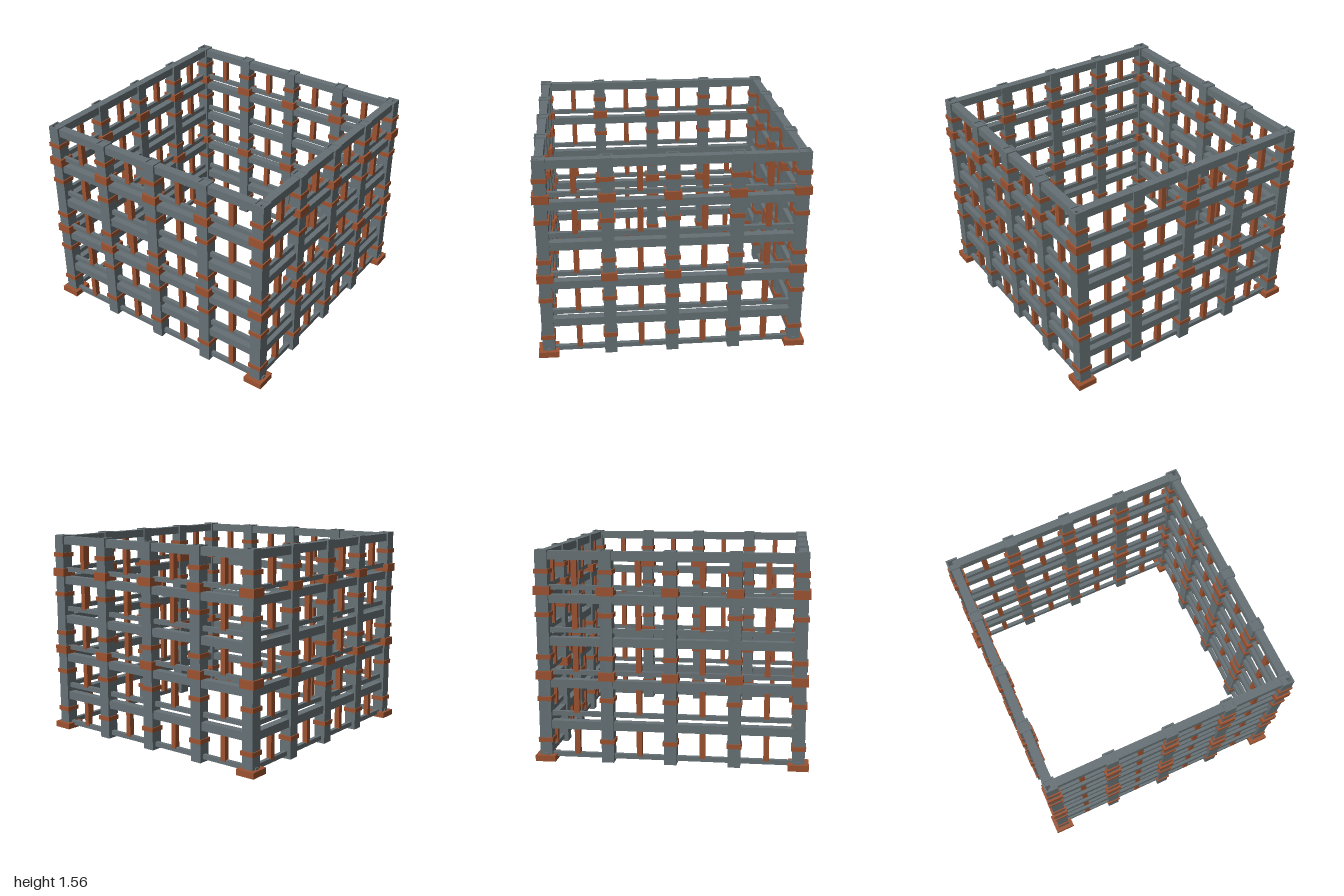
import * as THREE from 'three';

const R = 0.925;               // distance from the centre to each wall line
const SPACING = R / 2;         // distance between posts
const LEVEL = 0.3122;          // height of one tier

export function createModel() {
  const model = new THREE.Group();
  const steel = new THREE.MeshStandardMaterial({ color: 0x667175 });
  steel.name = 'slate steel';
  const rust = new THREE.MeshStandardMaterial({ color: 0x9c5230 });
  rust.name = 'rust orange';

  const add = (parent, name, geometry, material, x, y, z) => {
    const mesh = new THREE.Mesh(geometry, material);
    mesh.name = name;
    mesh.position.set(x, y, z);
    parent.add(mesh);
  };

  // Upright square tube, open at both ends, standing on its origin
  const squareTube = (outer, inner, height) => {
    const square = (path, s) => path.moveTo(-s, -s).lineTo(s, -s).lineTo(s, s).lineTo(-s, s).closePath();
    const shape = square(new THREE.Shape(), outer / 2);
    shape.holes.push(square(new THREE.Path(), inner / 2));
    return new THREE.ExtrudeGeometry(shape, { depth: height, bevelEnabled: false }).rotateX(-Math.PI / 2);
  };

  const postGeo = squareTube(0.09, 0.066, 1.56);
  const cornerPostGeo = squareTube(0.09, 0.066, 1.54);
  const smallCollarGeo = squareTube(0.107, 0.084, 0.033);
  const largeCollarGeo = squareTube(0.12, 0.084, 0.062);
  const plateGeo = new THREE.BoxGeometry(0.15, 0.045, 0.15);

  // Posts with their collars, and base plates at the corners
  const addPost = (x, z) => {
    const post = new THREE.Group();
    const corner = Math.abs(x) === R && Math.abs(z) === R;
    post.name = corner ? 'cornerPost' : 'wallPost';
    post.position.set(x, 0, z);
    add(post, 'postTube', corner ? cornerPostGeo : postGeo, steel, 0, corner ? 0.02 : 0, 0);
    for (let i = 0; i < 5; i++) add(post, 'smallCollar', smallCollarGeo, rust, 0, 0.142 + i * LEVEL, 0);
    for (const y of [0.617, 1.238]) add(post, 'largeCollar', largeCollarGeo, rust, 0, y, 0);
    if (corner) add(post, 'basePlate', plateGeo, rust, 0, 0.0225, 0);
    model.add(post);
  };
  for (let i = -2; i <= 2; i++) {
    for (let j = -2; j <= 2; j++) {
      if (Math.max(Math.abs(i), Math.abs(j)) === 2) addPost(i * SPACING, j * SPACING);
    }
  }

  // Four walls of rails and short bars
  const railGeo = new THREE.BoxGeometry(2 * R, 0.062, 0.062);
  const thinRailGeo = new THREE.BoxGeometry(2 * R, 0.035, 0.03);
  const sillGeo = new THREE.BoxGeometry(1.96, 0.035, 0.03);
  const barGeo = new THREE.BoxGeometry(0.04, 0.215, 0.04);
  for (let side = 0; side < 4; side++) {
    const wall = new THREE.Group();
    wall.name = ['frontWall', 'leftWall', 'backWall', 'rightWall'][side];
    wall.rotation.y = side * Math.PI / 2;
    for (let i = 0; i < 5; i++) {
      const y = i * LEVEL;
      add(wall, 'rail', railGeo, steel, 0, 0.272 + y, R);
      // the lowest front and back rails run past the corners
      add(wall, 'thinRail', i === 0 && side % 2 === 0 ? sillGeo : thinRailGeo, steel, 0, 0.042 + y, R);
      for (const k of [-1.5, -0.5, 0.5, 1.5]) add(wall, 'bar', barGeo, rust, k * SPACING, 0.157 + y, R);
    }
    model.add(wall);
  }
  return model;
}
